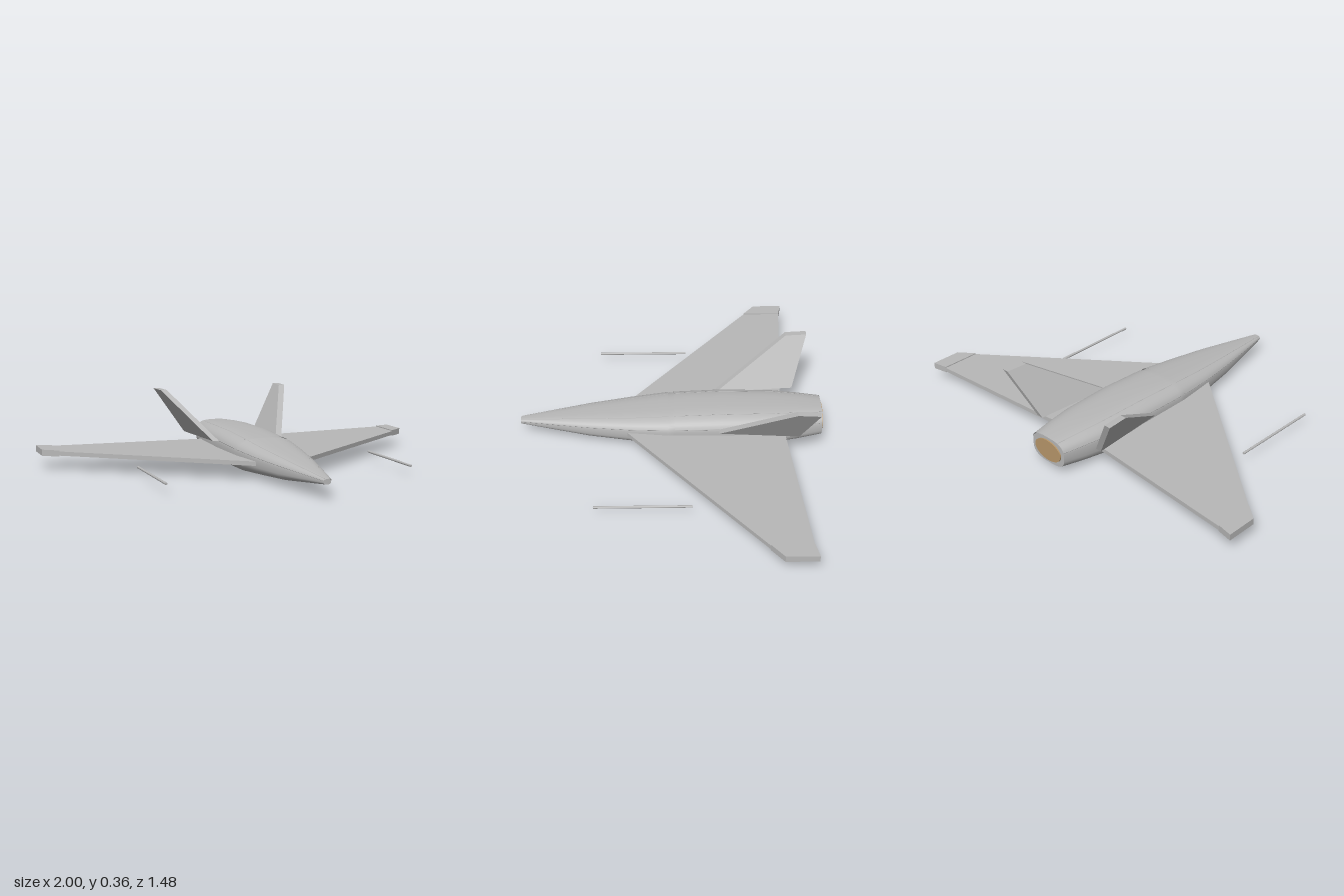
import * as THREE from 'three';

const hullGrey = new THREE.MeshStandardMaterial({ color: 0xb8b8b8, side: THREE.DoubleSide });
hullGrey.name = 'hull grey';
const exhaustTan = new THREE.MeshStandardMaterial({ color: 0xb8976a });
exhaustTan.name = 'exhaust tan';

// Fuselage stations: z, half width, bottom y, top y
const STATIONS = [
  [0.74, 0.018, 0.07, 0.094],
  [0.57, 0.057, 0.05, 0.113],
  [0.4, 0.095, 0.03, 0.132],
  [0.2, 0.13, 0.017, 0.15],
  [0.015, 0.152, 0.004, 0.168],
  [-0.015, 0.153, 0.002, 0.17],
  [-0.25, 0.156, 0.001, 0.18],
  [-0.5, 0.146, 0.001, 0.178],
  [-0.62, 0.127, 0.014, 0.173],
  [-0.735, 0.105, 0.03, 0.165],
];

// Point on the rounded-box cross-section at an angle, pushed out by an offset
function sectionPoint([z, hw, yb, yt], angle, offset = 0) {
  const power = (v) => Math.sign(v) * Math.abs(v) ** 0.68;
  return new THREE.Vector3(
    (hw + offset) * power(Math.cos(angle)),
    (yb + yt) / 2 + ((yt - yb) / 2 + offset) * power(Math.sin(angle)),
    z,
  );
}

// Skin between stations over a range of angles
function loft(stations, from, to, steps, offset = 0) {
  const closed = to - from > 6.28;
  const cols = closed ? steps : steps + 1;
  const positions = [];
  const index = [];
  stations.forEach((station, r) => {
    for (let c = 0; c < cols; c++) {
      const p = sectionPoint(station, from + ((to - from) * c) / steps, offset);
      positions.push(p.x, p.y, p.z);
    }
    if (r === 0) return;
    for (let c = 0; c < steps; c++) {
      const next = (c + 1) % cols;
      const a = (r - 1) * cols + c, b = (r - 1) * cols + next;
      const d = r * cols + c, e = r * cols + next;
      index.push(a, b, d, b, e, d);
    }
  });
  const geometry = new THREE.BufferGeometry();
  geometry.setAttribute('position', new THREE.Float32BufferAttribute(positions, 3));
  // Stations run from front to back, so the order is reversed to face outwards
  for (let i = 0; i < index.length; i += 3) [index[i + 1], index[i + 2]] = [index[i + 2], index[i + 1]];
  geometry.setIndex(index);
  geometry.computeVertexNormals();
  return geometry;
}

// Flat cap closing one end of the fuselage
function endCap(station, facing) {
  const points = [];
  for (let i = 0; i < 40; i++) {
    const p = sectionPoint(station, (i / 40) * Math.PI * 2);
    points.push(new THREE.Vector2(p.x * facing, p.y));
  }
  const geometry = new THREE.ShapeGeometry(new THREE.Shape(points));
  if (facing < 0) geometry.rotateY(Math.PI);
  return geometry.translate(0, 0, station[0]);
}

// Horizontal plate from [x, z] corners
function plate(corners, side, y0, y1) {
  const shape = new THREE.Shape(corners.map(([x, z]) => new THREE.Vector2(x * side, -z)));
  return new THREE.ExtrudeGeometry(shape, { depth: y1 - y0, bevelEnabled: false })
    .rotateX(-Math.PI / 2)
    .translate(0, y0, 0);
}

// Tail fin, leaning outwards and slightly toed out
function fin(side) {
  const corners = [[-0.23, 0.13], [-0.61, 0.13], [-0.685, 0.357], [-0.58, 0.357]];
  const thickness = 0.032;
  const shape = new THREE.Shape(corners.map(([z, y]) => new THREE.Vector2(z, y)));
  const geometry = new THREE.ExtrudeGeometry(shape, { depth: thickness, bevelEnabled: false })
    .rotateY(-Math.PI / 2)
    .translate(thickness / 2, 0, 0);
  const pos = geometry.attributes.position;
  for (let i = 0; i < pos.count; i++) {
    const lean = 0.17 + (pos.getY(i) - 0.13) * 0.6 + (-0.23 - pos.getZ(i)) * 0.075;
    pos.setX(i, pos.getX(i) + side * lean);
  }
  geometry.computeVertexNormals();
  return geometry;
}

export function createModel() {
  const model = new THREE.Group();
  model.name = 'jet';
  const add = (name, geometry, material = hullGrey) => {
    const mesh = new THREE.Mesh(geometry, material);
    mesh.name = name;
    model.add(mesh);
    return mesh;
  };

  // Fuselage
  add('fuselage', loft(STATIONS, 0, Math.PI * 2, 40));
  add('noseCap', endCap(STATIONS[0], 1));
  add('tailCap', endCap(STATIONS[STATIONS.length - 1], -1));

  // Raised upper covers, with a gap between them, and their seams
  const low = 0.3;
  const covers = { frontCover: STATIONS.slice(0, 5), rearCover: STATIONS.slice(5) };
  for (const [name, stations] of Object.entries(covers)) {
    add(name, loft(stations, low, Math.PI - low, 20, 0.004));
    for (const angle of [low, 1.08, Math.PI - 1.08, Math.PI - low]) {
      const path = new THREE.CurvePath();
      for (let i = 1; i < stations.length; i++) {
        path.add(new THREE.LineCurve3(
          sectionPoint(stations[i - 1], angle, 0.003),
          sectionPoint(stations[i], angle, 0.003),
        ));
      }
      add(name + 'Seam', new THREE.TubeGeometry(path, 24, 0.002, 5));
    }
  }

  // Exhaust disc
  const exhaust = add('exhaust', new THREE.CylinderGeometry(1, 1, 0.009, 32).rotateX(Math.PI / 2), exhaustTan);
  exhaust.scale.set(0.085, 0.053, 1);
  exhaust.position.set(0, 0.098, -0.7365);

  for (const side of [1, -1]) {
    const label = side > 0 ? 'left' : 'right';
    // Wing and its thicker tip
    add(label + 'Wing', plate([[0.12, 0.22], [0.925, -0.417], [0.925, -0.61], [0.12, -0.548]], side, 0.073, 0.094));
    add(label + 'WingTip', plate([[0.925, -0.417], [1, -0.475], [1, -0.625], [0.925, -0.61]], side, 0.068, 0.099));
    // Tail fin
    add(label + 'Fin', fin(side));
    // Slim rod below the wing
    const rod = add(label + 'Rod', new THREE.CylinderGeometry(0.006, 0.006, 0.455, 12).rotateX(Math.PI / 2));
    rod.position.set(side * 0.616, 0.05, 0.14);
  }
  return model;
}
